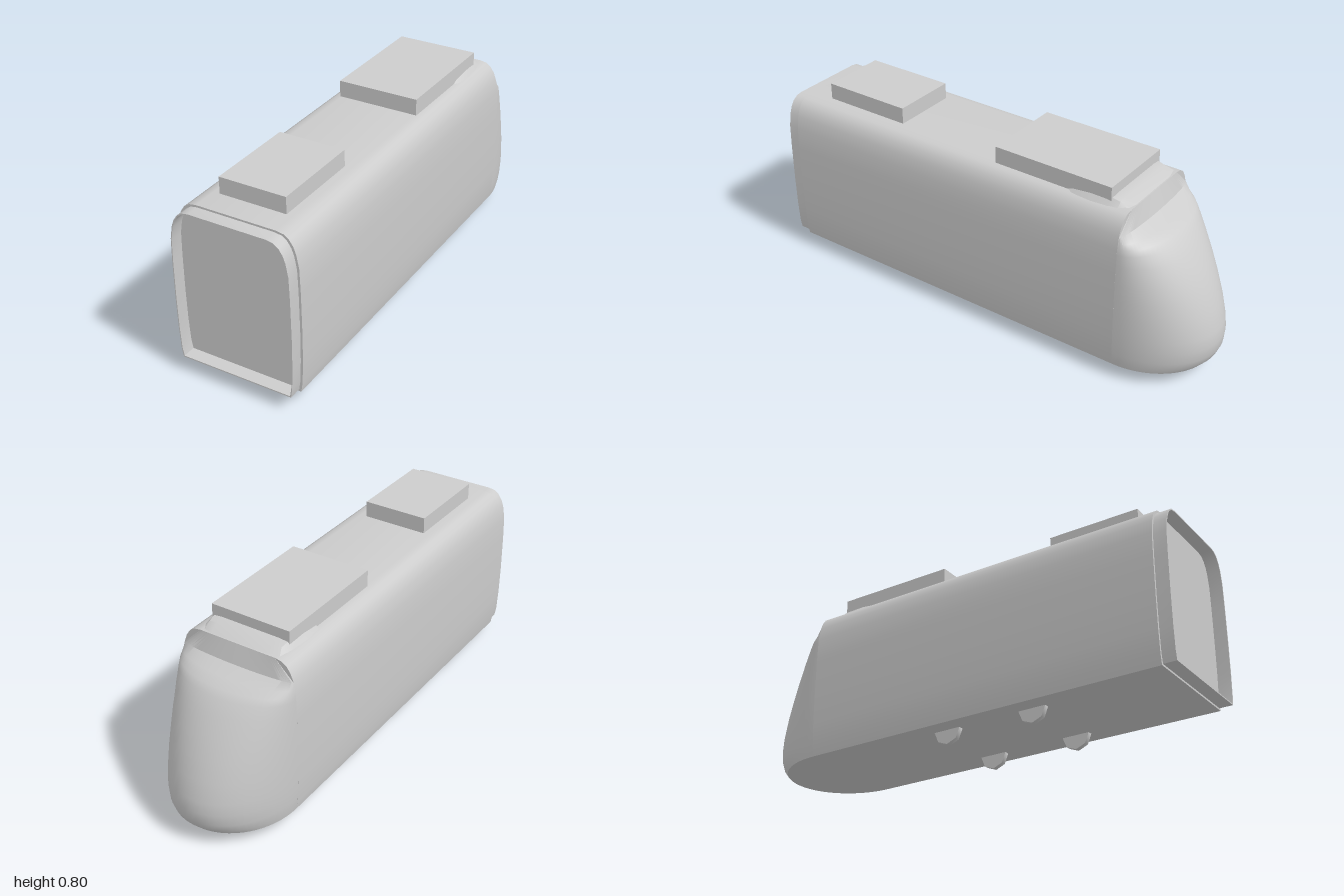
import * as THREE from 'three';
import { toCreasedNormals } from 'three/addons/utils/BufferGeometryUtils.js';

// half cross-section of the car, bottom to top: [half width, y]
const SECTION = [[0.25, 0.06], [0.257, 0.1], [0.262, 0.2], [0.264, 0.33], [0.263, 0.5], [0.26, 0.6],
  [0.25, 0.655], [0.239, 0.685], [0.222, 0.71], [0.2, 0.725], [0.17, 0.73]];
const NOSE_Z = -0.67, BODY_END = 0.945;

// mirrored outline of the section; sx scales the width, y0..y1 sets the height
function outline(Type, sx = 1, y0 = 0.06, y1 = 0.73) {
  const half = SECTION.map(([x, y]) => new THREE.Vector2(x * sx, y0 + (y - 0.06) / 0.67 * (y1 - y0)));
  const other = half.map(p => new THREE.Vector2(-p.x, p.y)).reverse();
  return new Type([...half, ...other]);
}

function extrude(shape, z0, z1) {
  const g = new THREE.ExtrudeGeometry(shape, { depth: z1 - z0, bevelEnabled: false });
  return toCreasedNormals(g.translate(0, 0, z0), 0.6);
}

// skin over rows of equal length
function skin(rows, crease, extra = []) {
  const n = rows[0].length, index = [];
  for (let i = 0; i < rows.length - 1; i++) {
    for (let j = 0; j < n - 1; j++) {
      const a = i * n + j, b = a + n;
      index.push(a, b, a + 1, a + 1, b, b + 1);
    }
  }
  const g = new THREE.BufferGeometry();
  g.setAttribute('position', new THREE.Float32BufferAttribute(rows.flat(2), 3));
  g.setIndex([...index, ...extra]);
  return toCreasedNormals(g, crease);
}

// nose: a half-ellipse in plan at each height
function noseGeometry() {
  const depth = [[0.06, 0.29], [0.085, 0.312], [0.12, 0.326], [0.17, 0.33], [0.22, 0.323], [0.3, 0.3], [0.38, 0.268],
    [0.45, 0.234], [0.53, 0.187], [0.58, 0.15], [0.605, 0.125], [0.625, 0.08], [0.652, 0.025], [0.73, 0]];
  const widthAt = y => {
    const k = Math.max(1, SECTION.findIndex(p => p[1] >= y - 1e-6));
    const [a, b] = [SECTION[k - 1], SECTION[k]];
    return THREE.MathUtils.mapLinear(y, a[1], b[1], a[0], b[0]);
  };
  const N = 32;
  const rows = depth.map(([y, d]) => Array.from({ length: N + 1 }, (_, j) => {
    const a = (j / N - 0.5) * Math.PI;
    return [widthAt(y) * Math.sin(a), y, NOSE_Z - d * Math.cos(a)];
  }));
  // flat underside as a fan
  const fan = [];
  for (let j = 1; j < N; j++) fan.push(0, j, j + 1);
  return skin(rows, 0.6, fan);
}

// low roof fairing under the rear unit: [z, half width, top]
function fairingGeometry() {
  const stations = [[-0.36, 0.17, 0.73], [-0.42, 0.195, 0.749], [-0.5, 0.2, 0.753],
    [-0.58, 0.195, 0.758], [-0.62, 0.19, 0.75], [-0.665, 0.185, 0.73]];
  const rows = stations.map(([z, w, h]) => [
    [-w, 0.722, z], [-w + 0.025, h - 0.004, z], [-w + 0.06, h, z],
    [w - 0.06, h, z], [w - 0.025, h - 0.004, z], [w, 0.722, z]]);
  return skin(rows, 0.6);
}

export function createModel() {
  const group = new THREE.Group();
  const grey = new THREE.MeshStandardMaterial({ color: 0xcccccc, side: THREE.DoubleSide });
  grey.name = 'plain grey';
  const add = (name, geometry, x = 0, y = 0, z = 0) => {
    const mesh = new THREE.Mesh(geometry, grey);
    mesh.name = name;
    mesh.position.set(x, y, z);
    group.add(mesh);
    return mesh;
  };

  add('carBody', extrude(outline(THREE.Shape), NOSE_Z, BODY_END));
  add('nose', noseGeometry());
  add('roofFairing', fairingGeometry());

  // open collar around the recessed coupling end
  const collar = outline(THREE.Shape, 0.965, 0.068, 0.722);
  collar.holes.push(outline(THREE.Path, 0.95, 0.073, 0.718));
  add('endCollar', extrude(collar, BODY_END - 0.005, 1));

  // roof units
  add('frontRoofUnit', new THREE.BoxGeometry(0.286, 0.08, 0.395), 0, 0.76, 0.64);
  add('rearRoofUnit', new THREE.BoxGeometry(0.355, 0.08, 0.53), 0, 0.76, -0.322);

  // wheels, half sunk in the floor
  const wheel = toCreasedNormals(new THREE.CylinderGeometry(0.06, 0.06, 0.022, 8).rotateZ(Math.PI / 2), 0.9);
  for (const x of [-0.167, 0.167]) {
    for (const z of [0.36, -0.035]) add('wheel', wheel, x, 0.06, z);
  }
  return group;
}
